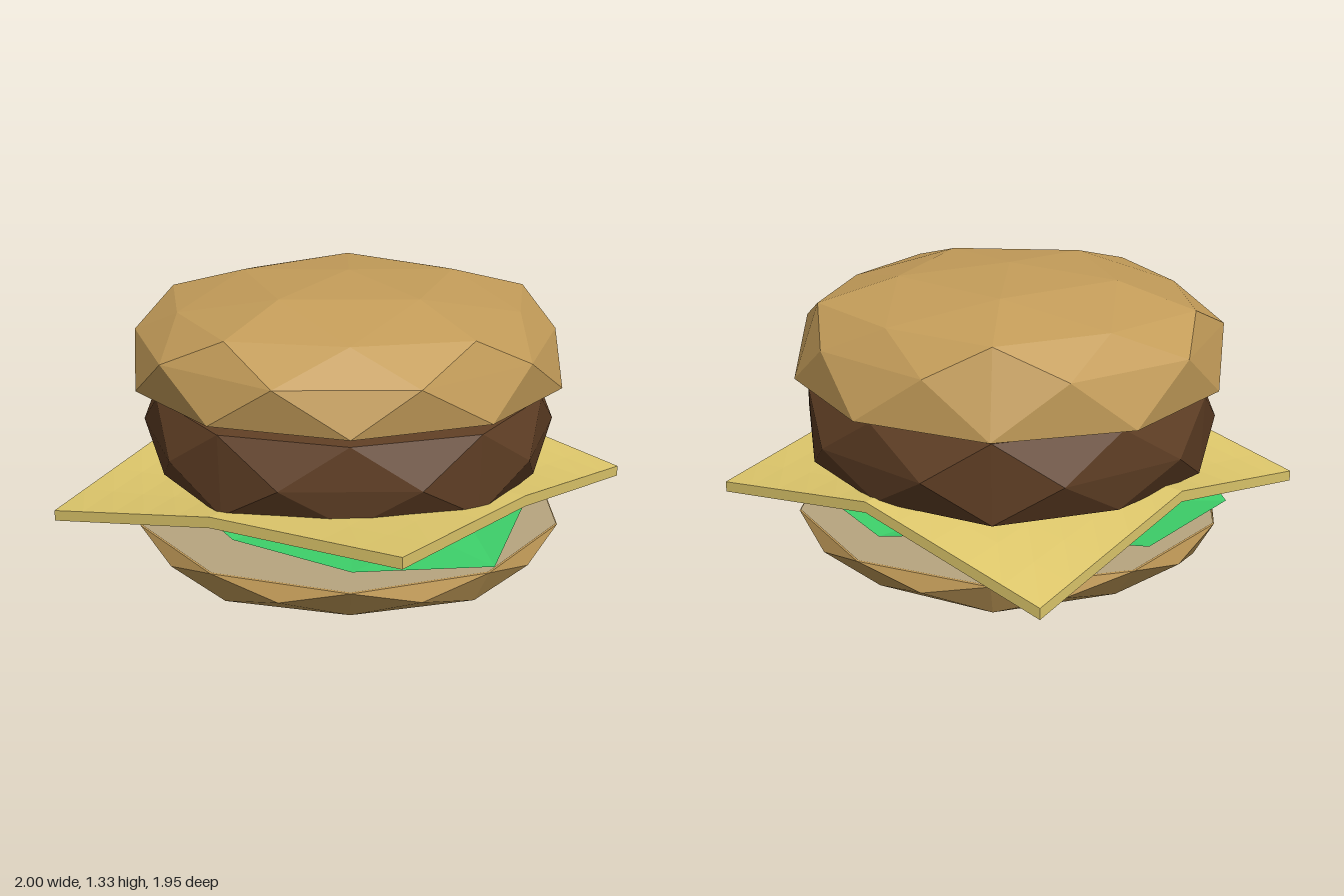
import * as THREE from 'three';
import { ConvexGeometry } from 'three/addons/geometries/ConvexGeometry.js';

const paint = (name, color, extra = {}) => {
  const m = new THREE.MeshStandardMaterial({ color, flatShading: true, ...extra });
  m.name = name;
  return m;
};

// Points on a horizontal ring; radius may alternate between two values
function ring(count, startDeg, y, rEven, rOdd = rEven, dx = 0) {
  return Array.from({ length: count }, (_, i) => {
    const a = THREE.MathUtils.degToRad(startDeg + (360 / count) * i);
    const r = i % 2 ? rOdd : rEven;
    return new THREE.Vector3(r * Math.cos(a) + dx, y, r * Math.sin(a));
  });
}

export function createModel() {
  const bun = paint('bun crust', 0xc39c59);
  const crumb = paint('bun crumb', 0xb8a57f);
  const meat = paint('patty brown', 0x603f25);
  const yellow = paint('cheese yellow', 0xe0c96c);
  const green = paint('lettuce green', 0x3fd46c, { side: THREE.DoubleSide });

  const group = new THREE.Group();
  const add = (name, geometry, material) => {
    const mesh = new THREE.Mesh(geometry, material);
    mesh.name = name;
    group.add(mesh);
    return mesh;
  };

  // Top bun: faceted dome with a slightly tilted cut rim
  const rimY = (p) => 0.853 - 0.012 * p.x + 0.015 * p.z;
  const rim = ring(10, 0, 0, 0.99);
  rim.forEach((p) => { p.y = rimY(p); });
  add('topBun', new ConvexGeometry([
    new THREE.Vector3(0, 1.33, 0),
    ...ring(5, 36, 1.295, 0.51),
    ...ring(10, 0, 1.195, 0.79, 0.87),
    ...ring(10, 18, 1.06, 0.96, 0.96, -0.025),
    ...rim,
  ]), bun);

  // Cut face under the top bun
  const cut = new THREE.CircleGeometry(0.985, 10).rotateX(Math.PI / 2);
  const cp = cut.attributes.position;
  for (let i = 0; i < cp.count; i++) {
    cp.setY(i, rimY({ x: cp.getX(i), z: cp.getZ(i) }) - 0.004);
  }
  cut.computeVertexNormals();
  add('topBunCutFace', cut, crumb);

  // Patty: flattened faceted ball
  add('patty', new ConvexGeometry([
    new THREE.Vector3(0, 0.865, 0),
    ...ring(5, 36, 0.85, 0.52),
    ...ring(10, 0, 0.81, 0.9, 0.93),
    ...ring(10, 18, 0.62, 0.955),
    ...ring(10, 0, 0.445, 0.88, 0.92),
    ...ring(5, 0, 0.385, 0.52),
    new THREE.Vector3(0, 0.365, 0),
  ]), meat);

  // Cheese: thin square slice whose corners bend by different amounts
  const cheese = new THREE.BoxGeometry(1.93, 0.05, 1.91, 10, 1, 10);
  const pos = cheese.attributes.position;
  for (let i = 0; i < pos.count; i++) {
    const u = pos.getX(i) / 0.965, v = pos.getZ(i) / 0.955;
    const bend = u < 0 ? (v > 0 ? 0.08 : -0.21) : -0.17;
    pos.setX(i, pos.getX(i) - 0.025);
    pos.setY(i, pos.getY(i) + 0.44 + bend * Math.abs(u * v));
  }
  cheese.computeVertexNormals();
  add('cheese', cheese, yellow);

  // Lettuce: shallow curled leaf, [x, y, z] around its edge
  const edge = [
    [0.87, 0.28, 0], [0.74, 0.3, 0.52], [0.28, 0.35, 0.82], [-0.3, 0.24, 0.97],
    [-0.76, 0.28, 0.56], [-0.85, 0.31, 0], [-0.7, 0.39, -0.5], [-0.37, 0.31, -0.97],
    [0.25, 0.31, -0.98], [0.7, 0.38, -0.52],
  ];
  const n = edge.length;
  const verts = [0, 0.23, 0], faces = [];
  edge.forEach(([x, y, z]) => verts.push(x * 0.6, 0.225 + (y - 0.225) * 0.3, z * 0.6));
  edge.forEach((p) => verts.push(...p));
  for (let i = 0; i < n; i++) {
    const a = 1 + i, b = 1 + ((i + 1) % n);
    faces.push(0, b, a, a, b, b + n, a, b + n, a + n);
  }
  const leaf = new THREE.BufferGeometry();
  leaf.setAttribute('position', new THREE.Float32BufferAttribute(verts, 3));
  leaf.setIndex(faces);
  leaf.computeVertexNormals();
  add('lettuce', leaf, green);

  // Bottom bun: shallow faceted bowl with a flat cut top
  add('bottomBun', new ConvexGeometry([
    new THREE.Vector3(0, 0, 0),
    ...ring(5, 0, 0.008, 0.52),
    ...ring(10, 0, 0.045, 0.87, 0.91),
    ...ring(10, 18, 0.13, 0.97),
    ...ring(10, 0, 0.21, 1),
  ]), bun);
  add('bottomBunCutFace', new THREE.CircleGeometry(0.995, 10).rotateX(-Math.PI / 2), crumb)
    .position.y = 0.214;

  return group;
}
